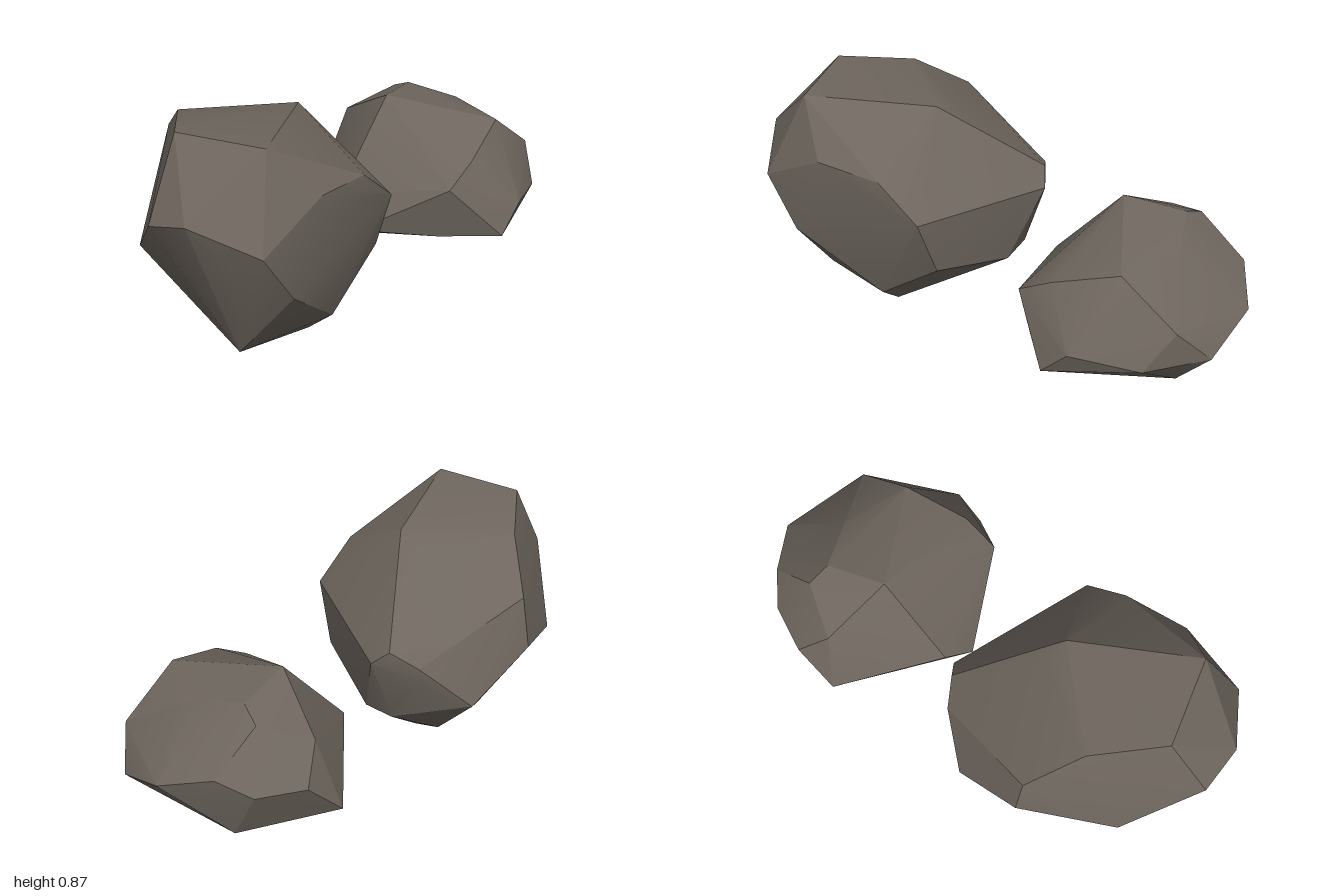
import * as THREE from 'three';
import { ConvexGeometry } from 'three/addons/geometries/ConvexGeometry.js';
import { toCreasedNormals } from 'three/addons/utils/BufferGeometryUtils.js';

// A chiselled boulder: the convex hull of its corners, soft across shallow bends
function boulder(name, corners, material) {
  const hull = new ConvexGeometry(corners.map((c) => new THREE.Vector3(...c)));
  const mesh = new THREE.Mesh(toCreasedNormals(hull, 0.42), material);
  mesh.name = name;
  return mesh;
}

export function createModel() {
  const stone = new THREE.MeshStandardMaterial({ color: 0x6e665e });
  stone.name = 'stone';

  const group = new THREE.Group();
  group.name = 'rocks';

  group.add(boulder('largeRock', [
    // crown
    [-0.73, 0.87, 0.31], [-0.83, 0.87, -0.03], [-0.29, 0.84, 0.06],
    [-0.27, 0.80, -0.03], [-0.61, 0.83, -0.24],
    // back
    [-0.48, 0.68, -0.43], [-0.48, 0.48, -0.47], [-0.20, 0.32, -0.46],
    [-0.81, 0.35, -0.26],
    // left side
    [0.02, 0.54, -0.23], [0.06, 0.48, -0.17], [-0.04, 0.49, -0.33],
    [-0.06, 0.42, -0.34],
    // right side
    [-1.0, 0.63, 0.18], [-1.0, 0.58, 0.0], [-0.91, 0.48, 0.30],
    // front
    [-0.86, 0.53, 0.41], [-0.58, 0.68, 0.43], [-0.32, 0.66, 0.40],
    [-0.15, 0.52, 0.39], [-0.72, 0.33, 0.42], [-0.13, 0.28, 0.30],
    [-0.39, 0.09, 0.31],
    // base
    [-0.40, 0.0, 0.20], [-0.75, 0.04, 0.18], [-0.54, 0.04, -0.15],
    [-0.26, 0.02, -0.08], [-0.30, 0.03, -0.17], [-0.03, 0.19, -0.04],
    [-0.04, 0.20, -0.18],
  ], stone));

  group.add(boulder('smallRock', [
    // crown
    [0.44, 0.60, -0.12], [0.67, 0.57, -0.19], [0.75, 0.53, 0.0],
    [0.66, 0.53, 0.27], [0.69, 0.53, -0.28], [0.41, 0.45, 0.34],
    // left side
    [0.88, 0.38, -0.28], [1.0, 0.31, -0.09], [0.98, 0.22, 0.15],
    [0.89, 0.36, 0.26], [0.81, 0.22, 0.36],
    // front
    [0.27, 0.37, 0.34], [0.56, 0.26, 0.47], [0.45, 0.15, 0.47],
    [0.28, 0.15, 0.28],
    // right side
    [0.11, 0.15, 0.0], [0.15, 0.27, -0.12],
    // back
    [0.51, 0.45, -0.39], [0.61, 0.32, -0.47], [0.79, 0.32, -0.39],
    [0.45, 0.16, -0.47],
    // base
    [0.86, 0.11, 0.19], [0.80, 0.11, -0.28], [0.52, 0.08, 0.31],
    [0.27, 0.07, -0.03],
  ], stone));

  return group;
}
